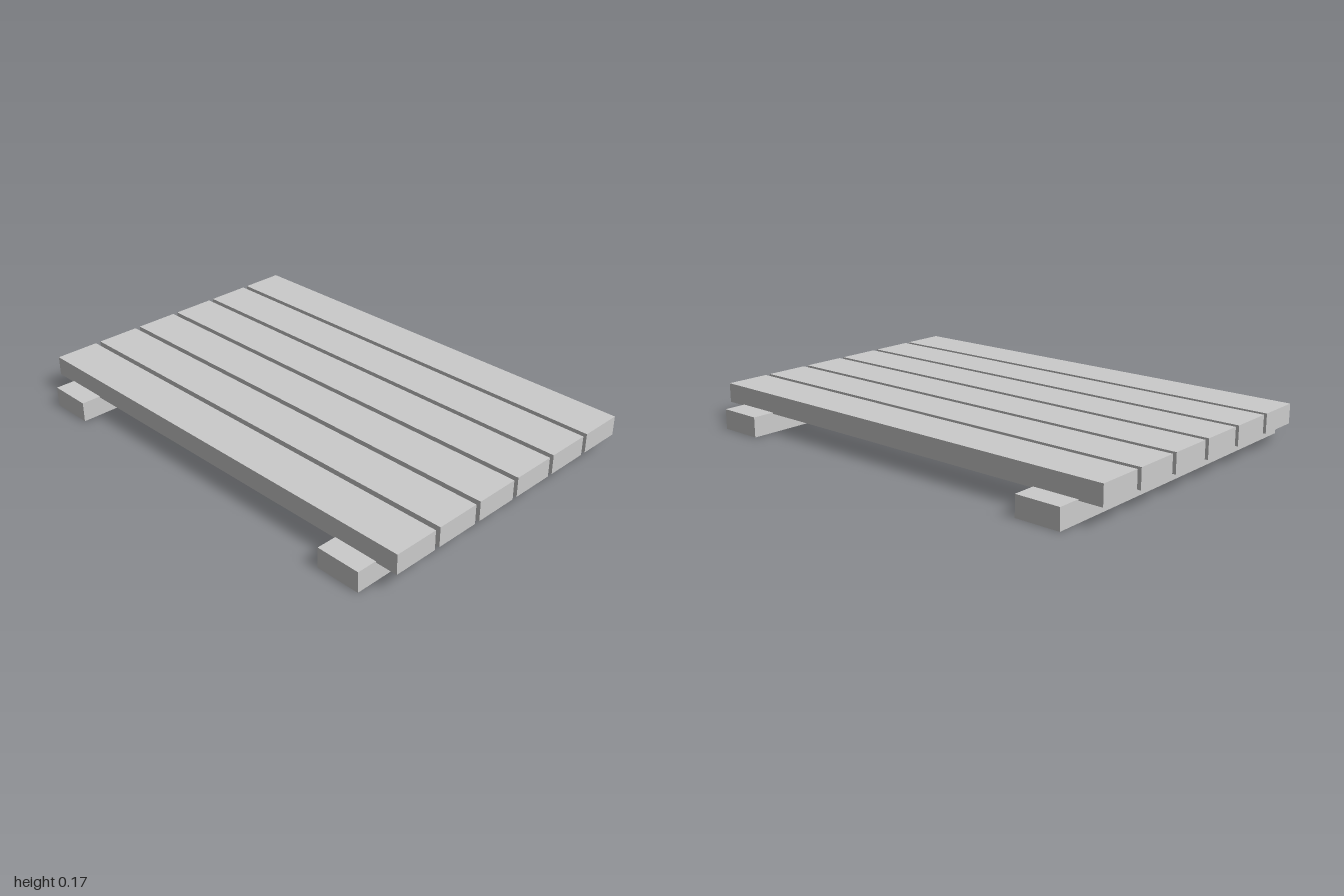
import * as THREE from 'three';

export function createModel() {
  const group = new THREE.Group();
  group.name = 'slattedPallet';
  const material = new THREE.MeshStandardMaterial({ color: 0xcccccc, flatShading: true });

  // Box standing on the given bottom height
  function board(name, width, height, depth, x, bottom, z) {
    const mesh = new THREE.Mesh(new THREE.BoxGeometry(width, height, depth), material);
    mesh.name = name;
    mesh.position.set(x, bottom + height / 2, z);
    group.add(mesh);
  }

  // Two cross rails under the deck
  board('frontRail', 1.474, 0.087, 0.194, 0, 0, 0.807);
  board('backRail', 1.474, 0.087, 0.194, 0, 0, -0.801);

  // Six long deck planks, slightly let into the rails
  const count = 6, pitch = 0.219, firstX = -0.553;
  for (let i = 0; i < count; i++) {
    board(`deckPlank${i + 1}`, 0.195, 0.084, 2, firstX + i * pitch, 0.082, 0);
  }

  return group;
}
